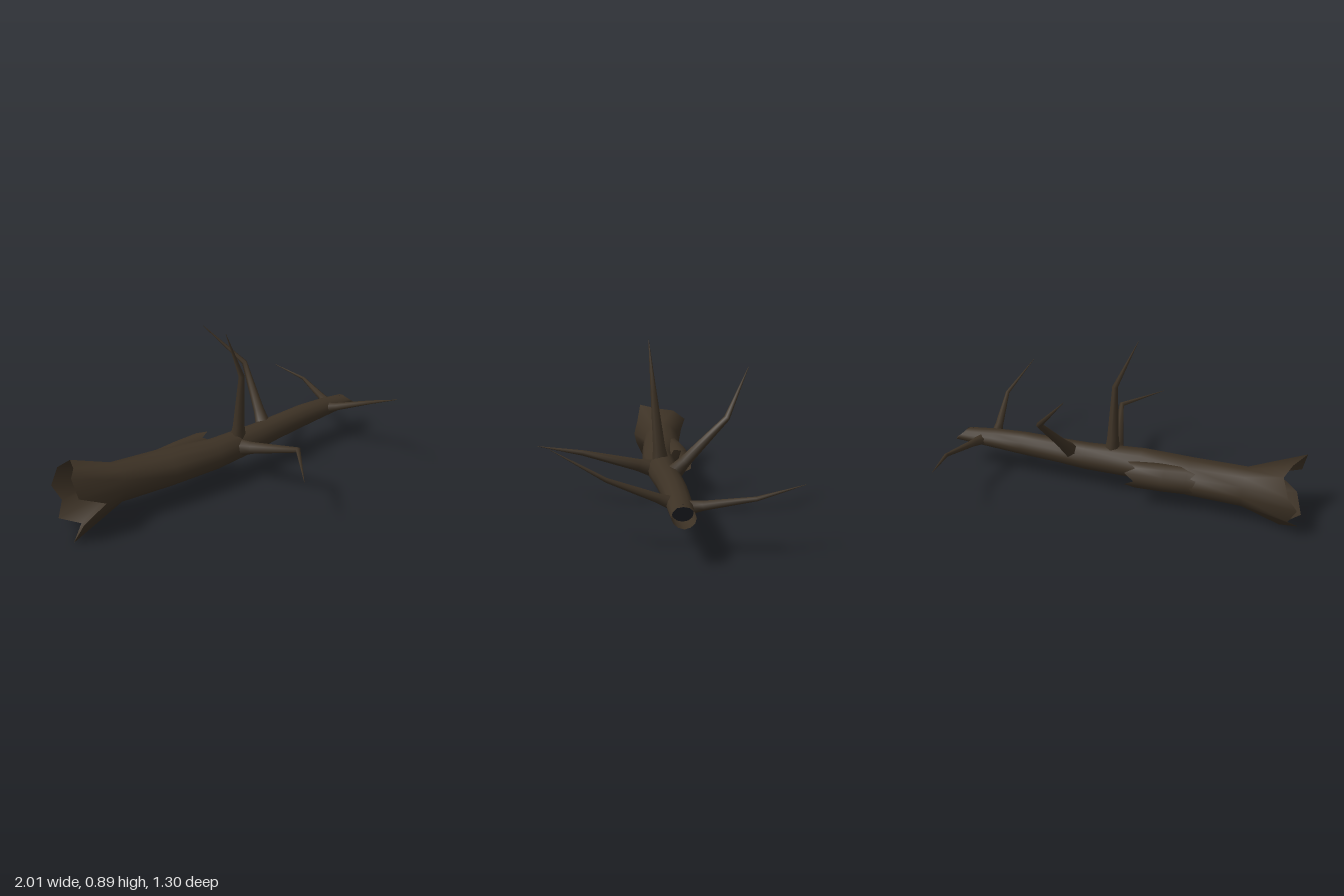
import * as THREE from 'three';

const bark = new THREE.MeshStandardMaterial({ color: 0x3d3225, side: THREE.DoubleSide });
bark.name = 'dark bark';
const hollow = new THREE.MeshStandardMaterial({ color: 0x14151a, side: THREE.DoubleSide });
hollow.name = 'hollow shadow';

const SIDES = 12;
const V = (x, y, z) => new THREE.Vector3(x, y, z);

// Skin a list of equal-length closed rings of points
function loft(name, rings) {
  const n = rings[0].length;
  const index = [];
  for (let i = 0; i < rings.length - 1; i++) {
    for (let k = 0; k < n; k++) {
      const a = i * n + k, b = i * n + (k + 1) % n;
      index.push(a, a + n, b, b, a + n, b + n);
    }
  }
  const geometry = new THREE.BufferGeometry().setFromPoints(rings.flat());
  geometry.setIndex(index);
  geometry.computeVertexNormals();
  const mesh = new THREE.Mesh(geometry, bark);
  mesh.name = name;
  return mesh;
}

// Ring across the x axis, starting at +z and turning upward; jag(k, angle) shifts x
function ring(x, cy, cz, ry, rz, jag = () => 0) {
  return Array.from({ length: SIDES }, (_, k) => {
    const a = k / SIDES * Math.PI * 2;
    return V(x + jag(k, a), cy + ry * Math.sin(a), cz + rz * Math.cos(a));
  });
}

// Bent, tapering branch: base, elbow, tip
function branch(name, base, elbow, tip, radius, elbowRadius) {
  const points = [base, base.clone().lerp(elbow, 0.25), elbow, tip];
  const radii = [radius * 1.5, radius, elbowRadius, 0.001];
  const rings = points.map((p, i) => {
    const t = points[Math.min(i + 1, 3)].clone().sub(points[Math.max(i - 1, 0)]).normalize();
    const u = t.clone().cross(V(1, 0, 0)).normalize();
    const v = u.clone().cross(t);
    return Array.from({ length: 6 }, (_, k) => {
      const a = k / 6 * Math.PI * 2;
      return p.clone()
        .addScaledVector(u, radii[i] * Math.cos(a))
        .addScaledVector(v, radii[i] * Math.sin(a));
    });
  });
  return loft(name, rings);
}

export function createModel() {
  const group = new THREE.Group();
  group.name = 'fallenTree';

  // Torn, flared rim at the root end
  const rootRim = [
    V(-0.84, 0.2, 0.12), V(-0.97, 0.26, 0.1), V(-0.99, 0.37, 0.08), V(-0.93, 0.355, -0.03),
    V(-0.9, 0.345, -0.14), V(-0.94, 0.28, -0.22), V(-0.99, 0.2, -0.2), V(-0.95, 0.11, -0.18),
    V(-1, 0.05, -0.12), V(-0.9, 0.005, -0.075), V(-1, 0, 0.055), V(-0.96, 0.11, 0.105),
  ];

  // Hollow trunk, narrowing to a slanted broken tip
  group.add(loft('trunk', [
    rootRim,
    ring(-0.7, 0.19, -0.055, 0.105, 0.11),
    ring(-0.4, 0.184, -0.049, 0.099, 0.117),
    ring(-0.12, 0.187, -0.02, 0.085, 0.09),
    ring(0.2, 0.189, -0.052, 0.077, 0.073),
    ring(0.35, 0.2, -0.064, 0.07, 0.069),
    ring(0.57, 0.212, -0.08, 0.066, 0.065),
    ring(0.75, 0.216, -0.09, 0.055, 0.061),
    ring(0.96, 0.216, -0.1, 0.036, 0.054, (k, a) => -0.04 * Math.sin(a) + (k % 3 ? 0 : 0.005)),
  ]));

  // Shadowed inside of the tip
  const cap = new THREE.Mesh(new THREE.CircleGeometry(0.048, SIDES), hollow);
  cap.name = 'tipHollow';
  cap.scale.y = 0.8;
  cap.rotation.y = Math.PI / 2;
  cap.position.set(0.9, 0.217, -0.098);
  group.add(cap);

  // Broken hollow stub along the back
  group.add(loft('brokenStub', [
    ring(-0.52, 0.186, -0.08, 0.075, 0.075),
    ring(-0.4, 0.188, -0.095, 0.08, 0.075),
    ring(-0.28, 0.19, -0.118, 0.078, 0.073),
    ring(-0.105, 0.192, -0.143, 0.072, 0.068, k => (k % 2 ? 0.03 : -0.025)),
  ]));

  // Branches
  const branches = [
    ['topBranch', V(0.055, 0.21, -0.03), V(0.05, 0.62, 0.01), V(-0.07, 0.89, 0.035), 0.033, 0.016],
    ['backBranch', V(0.28, 0.22, -0.08), V(0.335, 0.525, -0.35), V(0.13, 0.76, -0.485), 0.031, 0.016],
    ['frontBranch', V(0.04, 0.19, 0), V(0.145, 0.305, 0.385), V(-0.04, 0.3, 0.65), 0.034, 0.015],
    ['frontTipBranch', V(0.76, 0.215, -0.07), V(0.83, 0.345, 0.23), V(0.765, 0.467, 0.48), 0.023, 0.011],
    ['backTipBranch', V(0.82, 0.215, -0.12), V(0.873, 0.27, -0.42), V(0.81, 0.315, -0.65), 0.023, 0.011],
  ];
  for (const b of branches) group.add(branch(...b));

  return group;
}
